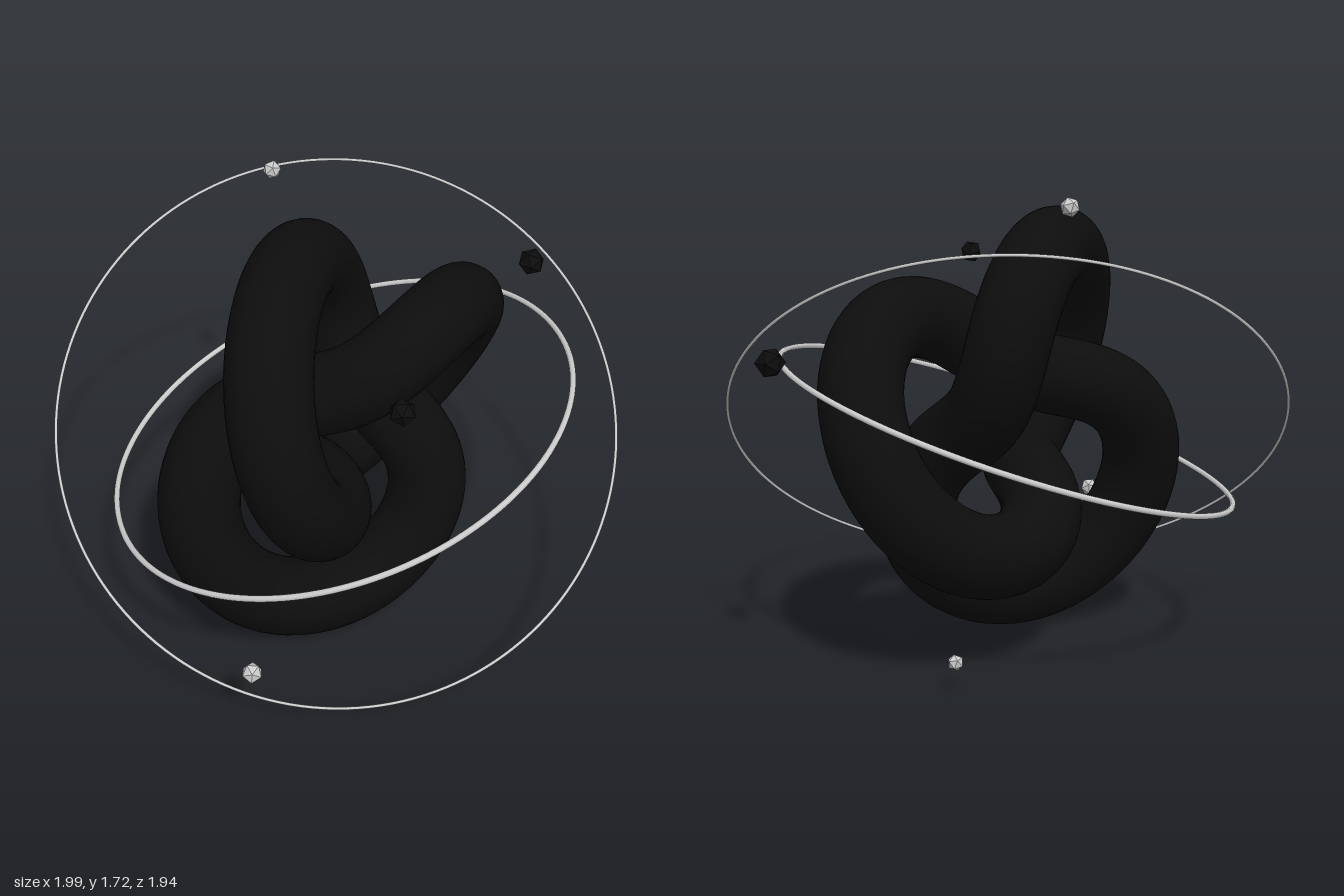
import * as THREE from 'three';

export function createModel() {
  const model = new THREE.Group();
  model.name = 'knotSculpture';

  const black = new THREE.MeshStandardMaterial({ color: 0x0d0d0d });
  black.name = 'black';
  const silver = new THREE.MeshStandardMaterial({ color: 0xcccccc });
  silver.name = 'silver';

  const centre = new THREE.Vector3(-0.05, 0.845, 0);

  function add(name, geometry, material, position) {
    const mesh = new THREE.Mesh(geometry, material);
    mesh.name = name;
    mesh.position.copy(position);
    model.add(mesh);
    return mesh;
  }

  // Central trefoil knot
  add('knot', new THREE.TorusKnotGeometry(0.485, 0.155, 220, 32, 2, 3), black, centre);

  // Orbit rings, each tilted so its axis follows the given normal
  function addRing(name, radius, tube, normal) {
    const ring = add(name, new THREE.TorusGeometry(radius, tube, 8, 160), silver, centre);
    ring.quaternion.setFromUnitVectors(new THREE.Vector3(0, 0, 1), normal.normalize());
  }
  addRing('innerRing', 0.912, 0.0115, new THREE.Vector3(-0.191, 0.95, -0.247));
  addRing('outerRing', 1.0726, 0.006, new THREE.Vector3(-0.4825, 0.7605, 0.4346));

  // Small faceted gems floating around the knot: material, radius, position, rotation
  const gems = [
    [black, 0.055, [0.95, 1.16, 0.21], [0, 0, 0]],
    [black, 0.047, [-0.52, 1.475, 0.63], [0.5, 0.4, 0.5]],
    [silver, 0.036, [0.16, 1.69, -0.475], [0.3, 0.6, 0.2]],
    [silver, 0.039, [-0.945, 0.425, 0.31], [0.6, 0.2, 0.1]],
    [silver, 0.03, [0.58, 0.11, -0.315], [0.2, 0.5, 0.4]],
  ];
  gems.forEach(([material, radius, position, rotation], i) => {
    // Polyhedra of detail 0 carry flat face normals
    const gem = add(`gem${i + 1}`, new THREE.IcosahedronGeometry(radius, 0), material,
      new THREE.Vector3(...position));
    gem.rotation.set(...rotation);
  });

  return model;
}
